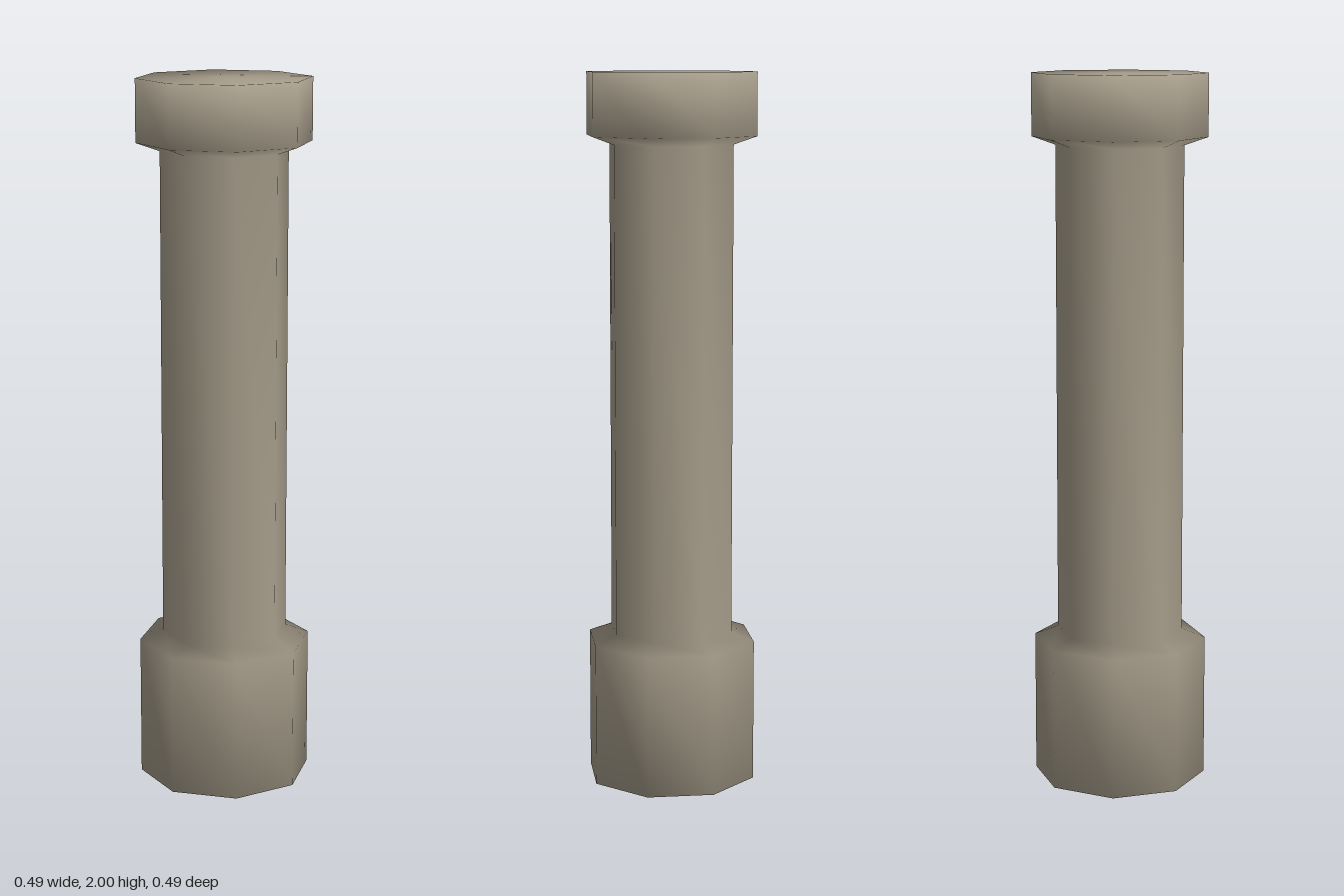
import * as THREE from 'three';
import { mergeVertices } from 'three/addons/utils/BufferGeometryUtils.js';

export function createModel() {
  const group = new THREE.Group();
  group.name = 'octagonalPillar';
  const stone = new THREE.MeshStandardMaterial({ color: 0xa39a88 });
  stone.name = 'warmGreyStone';

  // Profile from the underside up: base block, shaft, capital, closed top
  const profile = [
    [0, 0], [0.244, 0], [0.244, 0.403],
    [0.178, 0.428], [0.178, 1.803],
    [0.244, 1.826], [0.244, 2], [0, 2],
  ].map(([r, y]) => new THREE.Vector2(r, y));

  // Eight sides, with normals shared across every edge for soft shading
  let geometry = new THREE.LatheGeometry(profile, 8);
  geometry.deleteAttribute('normal');
  geometry.deleteAttribute('uv');
  geometry = mergeVertices(geometry, 1e-4);
  geometry.computeVertexNormals();

  const pillar = new THREE.Mesh(geometry, stone);
  pillar.name = 'pillar';
  group.add(pillar);
  return group;
}
